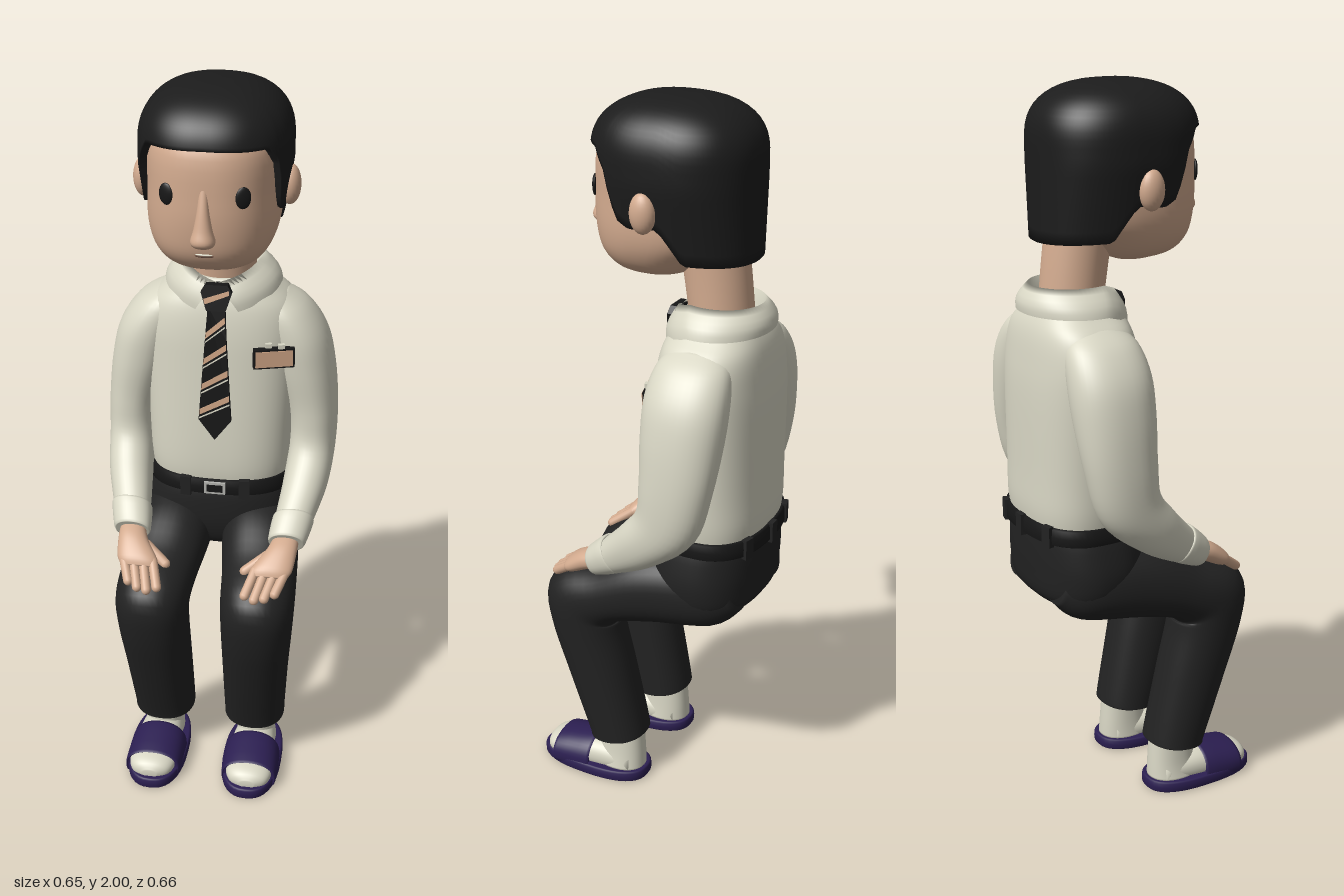
import * as THREE from 'three';

const mat = (name, color, side = THREE.FrontSide) => {
  const m = new THREE.MeshStandardMaterial({ color, side });
  m.name = name;
  return m;
};

// Grid surface: rows run downwards, columns run round the vertical axis
function grid(rows, cols, fn, closed = true) {
  const pos = [], idx = [], n = closed ? cols : cols + 1;
  for (let i = 0; i <= rows; i++) for (let j = 0; j < n; j++) pos.push(...fn(i, j / cols));
  for (let i = 0; i < rows; i++) for (let j = 0; j < cols; j++) {
    const k = (j + 1) % n, a = i * n + j, b = i * n + k;
    idx.push(a, b, a + n, b, b + n, a + n);
  }
  const g = new THREE.BufferGeometry();
  g.setAttribute('position', new THREE.Float32BufferAttribute(pos, 3));
  g.setIndex(idx);
  g.computeVertexNormals();
  return g;
}

const spow = (v, e) => Math.sign(v) * Math.abs(v) ** e;

// Smooth loft through sections [x, y, z, half width, half depth, pitch in degrees]
function loft(sections, { power = 2.2, cols = 40, steps = 5, minY = -1 } = {}) {
  const S = sections.map(r => (r.length < 6 ? [...r, 0] : r)), last = S.length - 1, rings = [];
  for (let i = 0; i < last; i++) for (let k = 0; k < steps || (i === last - 1 && k === steps); k++) {
    const t = k / steps, p = [S[Math.max(i - 1, 0)], S[i], S[i + 1], S[Math.min(i + 2, last)]];
    rings.push(p[0].map((_, c) => {
      const [a, b, d, e] = p.map(r => r[c]);
      return b + 0.5 * t * (d - a + t * (2 * a - 5 * b + 4 * d - e + t * (3 * (b - d) + e - a)));
    }));
  }
  const R = rings.length;
  return grid(R + 1, cols, (i, u) => {
    const [x, y, z, rx, rz, deg] = rings[Math.min(Math.max(i - 1, 0), R - 1)];
    const k = i === 0 || i === R + 1 ? 0 : 1, th = u * Math.PI * 2, p = deg * Math.PI / 180;
    const d = k * rz * spow(Math.sin(th), 2 / power);
    return [x + k * rx * spow(Math.cos(th), 2 / power), Math.max(minY, y + d * Math.sin(p)), z + d * Math.cos(p)];
  });
}

// Capsule between two points
function rod(a, b, r) {
  const A = new THREE.Vector3(...a), B = new THREE.Vector3(...b), d = B.clone().sub(A);
  const g = new THREE.CapsuleGeometry(r, d.length(), 6, 14);
  g.applyQuaternion(new THREE.Quaternion().setFromUnitVectors(new THREE.Vector3(0, 1, 0), d.normalize()));
  return g.translate(...A.add(B).multiplyScalar(0.5).toArray());
}

const ball = (x, y, z, sx, sy, sz, turn = 0) =>
  new THREE.SphereGeometry(1, 24, 16).scale(sx, sy, sz).rotateY(turn).translate(x, y, z);
const box = (x, y, z, w, h, d, turn = 0) => new THREE.BoxGeometry(w, h, d).rotateY(turn).translate(x, y, z);

// Height-to-value lookup in a short table
function lookup(table, v) {
  let i = 0;
  while (i < table.length - 2 && v > table[i + 1][0]) i++;
  const [a, b] = [table[i], table[i + 1]];
  return THREE.MathUtils.lerp(a[1], b[1], THREE.MathUtils.clamp((v - a[0]) / (b[0] - a[0]), 0, 1));
}

export function createModel() {
  const model = new THREE.Group();
  model.name = 'seatedOfficeWorker';
  const skin = mat('skin', 0xd3ab8f), cloth = mat('shirtCream', 0xd9d7c5, THREE.DoubleSide);
  const trouser = mat('trouserBlack', 0x222222), hairMat = mat('hairBlack', 0x1c1c1c);
  const black = mat('accessoryBlack', 0x171717), purple = mat('slipperPurple', 0x2c1f52);
  const tan = mat('stripeTan', 0xcfa585), silver = mat('buckleSilver', 0xb5b5b0), lip = mat('lipBrown', 0x8d6a58);
  const add = (name, geo, m, parent = model) => {
    const mesh = new THREE.Mesh(geo, m);
    mesh.name = name;
    parent.add(mesh);
    return mesh;
  };

  // Head, neck and face
  add('head', loft([[0, 1.95, -0.02, 0.1, 0.1], [0, 1.88, -0.02, 0.165, 0.185], [0, 1.75, -0.02, 0.17, 0.2],
    [0, 1.66, -0.012, 0.168, 0.188], [0, 1.6, 0.008, 0.148, 0.152], [0, 1.56, 0.015, 0.112, 0.108],
    [0, 1.537, 0.015, 0.05, 0.05]], { power: 2.3, cols: 56 }), skin);
  add('neck', loft([[0, 1.64, -0.135, 0.09, 0.09], [0, 1.54, -0.15, 0.088, 0.088], [0, 1.42, -0.165, 0.088, 0.085]], { power: 2 }), skin);
  add('nose', loft([[0, 1.8, 0.165, 0.01, 0.01], [0, 1.74, 0.175, 0.015, 0.018], [0, 1.69, 0.182, 0.023, 0.024],
    [0, 1.66, 0.184, 0.031, 0.031], [0, 1.645, 0.178, 0.026, 0.026], [0, 1.638, 0.172, 0.01, 0.012]], { cols: 24 }), skin);
  add('mouth', ball(0, 1.613, 0.159, 0.033, 0.008, 0.008), lip);
  add('teeth', ball(0, 1.615, 0.164, 0.024, 0.003, 0.006), cloth);
  for (const s of [1, -1]) {
    add('ear', ball(s * 0.188, 1.74, -0.032, 0.028, 0.053, 0.035), skin);
    add('eye', ball(s * 0.095, 1.765, 0.156, 0.02, 0.028, 0.007, s * 0.4), black);
  }

  // Hair cap: hairline height depends on the angle from the front
  const hairline = [[0, 1.885], [48, 1.88], [60, 1.83], [70, 1.71], [80, 1.69], [95, 1.7], [110, 1.61], [180, 1.6]];
  add('hair', grid(23, 96, (i, u) => {
    const th = u * Math.PI * 2, away = Math.acos(Math.sin(th)) * 180 / Math.PI;
    const drop = (2 - lookup(hairline, away)) * Math.min(1, i / 22) ** 1.8, q = Math.min(1, drop / 0.15);
    const f = (1 - (1 - q) ** 2.5) ** 0.4 * (i === 23 ? 0.4 : 1);
    const taper = 1 - 0.75 * Math.max(0, drop - 0.2);
    return [0.195 * f * taper * spow(Math.cos(th), 0.85), 2 - drop, -0.037 + 0.223 * f * spow(Math.sin(th), 0.85)];
  }), hairMat);

  // Shirt body and folded collar
  add('shirtBody', loft([[0, 1.45, -0.165, 0.1, 0.09], [0, 1.415, -0.165, 0.145, 0.115], [0, 1.37, -0.165, 0.195, 0.132],
    [0, 1.3, -0.164, 0.215, 0.143], [0, 1.2, -0.164, 0.215, 0.15], [0, 1.0, -0.16, 0.207, 0.156],
    [0, 0.9, -0.16, 0.203, 0.157], [0, 0.84, -0.16, 0.195, 0.15]], { power: 2.6, cols: 56 }), cloth);
  add('collar', grid(6, 64, (i, u) => {
    const a = 0.02 + u * (Math.PI * 2 - 0.04), rise = Math.min(1, Math.min(a, Math.PI * 2 - a) / 1.2);
    const b = 0.37 + u * (Math.PI * 2 - 0.74), v = Math.max(0, (i - 1) / 5), inner = i === 0 ? 0.93 : 1;
    const mix = THREE.MathUtils.lerp, bulge = 1 + 0.09 * Math.sin(v * Math.PI);
    return [-mix(0.106 * Math.sin(a), 0.16 * Math.sin(b), v) * bulge * inner,
      mix(1.45 + 0.04 * rise, 1.375 + 0.045 * rise, v) - (i === 0 ? 0.07 : 0),
      -0.162 + mix(0.115 * Math.cos(a), 0.142 * Math.cos(b), v) * bulge * inner];
  }, false), cloth);

  // Tie, bent to follow the chest
  const chest = [[1.0, -0.003], [1.2, -0.012], [1.3, -0.018], [1.38, -0.03], [1.45, -0.042]];
  const tieWidth = [[1.0, 0], [1.06, 0.045], [1.38, 0.023]];
  const onChest = (pts, depth, lift) => {
    const g = new THREE.ExtrudeGeometry(new THREE.Shape(pts.map(p => new THREE.Vector2(...p))), { depth, bevelEnabled: false });
    const p = g.attributes.position;
    for (let i = 0; i < p.count; i++) p.setZ(i, p.getZ(i) + lift + lookup(chest, p.getY(i)));
    g.computeVertexNormals();
    return g;
  };
  const ys = [1.06, 1.12, 1.2, 1.3, 1.39];
  add('tieBlade', onChest([[0, 1.0], ...ys.map(y => [lookup(tieWidth, y), y]),
    ...ys.slice().reverse().map(y => [-lookup(tieWidth, y), y])], 0.012, -0.004), black);
  add('tieKnot', onChest([[-0.026, 1.38], [0.026, 1.38], [0.042, 1.43], [0.03, 1.45], [-0.03, 1.45], [-0.042, 1.43]], 0.026, -0.01), black);
  const stripe = (y, h, m, lift) => {
    const w = yy => 0.97 * lookup(tieWidth, yy), r = y + 0.045;
    add('tieStripe', onChest([[-w(y), y], [w(r), r], [w(r + h), r + h], [-w(y + h), y + h]], 0.002, lift), m);
  };
  for (let y = 1.075; y < 1.34; y += 0.075) {
    stripe(y, 0.017, tan, 0.008);
    stripe(y - 0.012, 0.004, cloth, 0.008);
  }
  add('knotStripe', onChest([[-0.03, 1.398], [0.034, 1.425], [0.034, 1.437], [-0.034, 1.412]], 0.002, 0.016), tan);

  // Chest pocket badge
  add('badgeFrame', box(0.155, 1.247, -0.034, 0.112, 0.056, 0.02, 0.3), black);
  add('badgePlate', box(0.1565, 1.247, -0.0265, 0.102, 0.046, 0.01, 0.3), tan);
  for (const x of [0.14, 0.175]) add('badgeClip', box(x, 1.28, -0.036, 0.018, 0.014, 0.012, 0.3), cloth);

  // Belt with loops and buckle
  add('belt', loft([[0, 0.866, -0.162, 0.198, 0.152], [0, 0.864, -0.162, 0.207, 0.161], [0, 0.822, -0.162, 0.209, 0.163],
    [0, 0.82, -0.162, 0.198, 0.152]], { power: 2.6, steps: 2, cols: 56 }), black);
  for (const [x, z, t] of [[0.083, -0.005, 0.08], [-0.083, -0.005, -0.08], [0, -0.324, 0], [0.12, -0.307, -0.25], [-0.12, -0.307, 0.25]])
    add('beltLoop', box(x, 0.842, z, 0.03, 0.058, 0.016, t), trouser);
  add('buckle', box(0, 0.843, 0.002, 0.06, 0.036, 0.008), silver);
  add('buckleCentre', box(0, 0.843, 0.004, 0.046, 0.022, 0.008), black);

  // Trouser seat
  add('trouserSeat', loft([[0, 0.85, -0.162, 0.197, 0.152], [0, 0.8, -0.158, 0.212, 0.158], [0, 0.72, -0.158, 0.222, 0.155],
    [0, 0.65, -0.165, 0.205, 0.138], [0, 0.61, -0.17, 0.15, 0.09]], { power: 2.4, cols: 56 }), trouser);

  for (const s of [1, -1]) {
    const side = new THREE.Group();
    side.name = s > 0 ? 'leftLimbs' : 'rightLimbs';
    model.add(side);
    const limb = (name, rows, m, opt) => add(name, loft(rows.map(([x, ...r]) => [s * x, ...r]), opt), m, side);

    // Sleeve and cuff
    limb('sleeve', [[0.13, 1.395, -0.165, 0.04, 0.06], [0.16, 1.355, -0.165, 0.075, 0.098], [0.2, 1.28, -0.165, 0.087, 0.113],
      [0.227, 1.18, -0.165, 0.085, 0.112], [0.253, 1.05, -0.16, 0.071, 0.1, 5], [0.258, 0.935, -0.135, 0.065, 0.088, 22],
      [0.25, 0.855, -0.055, 0.062, 0.071, 42], [0.233, 0.795, 0.025, 0.054, 0.055, 52], [0.22, 0.755, 0.09, 0.045, 0.038, 62]], cloth);
    limb('cuff', [[0.23, 0.79, 0.04, 0.048, 0.046, 58], [0.229, 0.788, 0.043, 0.057, 0.055, 58],
      [0.218, 0.752, 0.1, 0.052, 0.044, 64], [0.217, 0.749, 0.106, 0.043, 0.036, 65]], cloth, { steps: 3 });

    // Hand with four fingers and a thumb
    limb('palm', [[0.217, 0.755, 0.085, 0.034, 0.027, 60], [0.208, 0.738, 0.135, 0.042, 0.028, 56],
      [0.187, 0.707, 0.185, 0.056, 0.024, 50], [0.18, 0.692, 0.205, 0.046, 0.014, 48]], skin);
    for (let f = 0; f < 4; f++) {
      const len = [0.95, 1.08, 1, 0.8][f];
      add('finger', rod([s * (0.143 + f * 0.027), 0.705, 0.19],
        [s * (0.122 + f * 0.027), 0.705 - 0.046 * len, 0.19 + 0.064 * len], 0.0135), skin, side);
    }
    add('thumb', rod([s * 0.17, 0.725, 0.14], [s * 0.112, 0.688, 0.172], 0.0145), skin, side);

    // Trouser leg
    limb('trouserLeg', [[0.11, 0.7, -0.275, 0.05, 0.06, 75], [0.112, 0.69, -0.2, 0.1, 0.107, 78], [0.128, 0.665, -0.03, 0.11, 0.108, 78],
      [0.142, 0.618, 0.095, 0.106, 0.092, 68], [0.148, 0.578, 0.175, 0.103, 0.116, 33], [0.147, 0.5, 0.175, 0.1, 0.105, 0],
      [0.141, 0.35, 0.137, 0.094, 0.097, -8], [0.135, 0.16, 0.087, 0.088, 0.085, -8], [0.135, 0.137, 0.084, 0.086, 0.082, -6],
      [0.135, 0.13, 0.083, 0.07, 0.066, -6]], trouser);

    // Sock and slipper
    limb('sockAnkle', [[0.137, 0.16, 0.075, 0.05, 0.066], [0.138, 0.08, 0.074, 0.054, 0.07], [0.14, 0.03, 0.08, 0.06, 0.078]], cloth);
    limb('sockFoot', [[0.14, 0.045, 0.03, 0.05, 0.04, 90], [0.14, 0.05, 0.14, 0.064, 0.05, 90], [0.142, 0.045, 0.25, 0.068, 0.038, 90],
      [0.143, 0.042, 0.295, 0.054, 0.029, 90], [0.143, 0.04, 0.313, 0.02, 0.012, 90]], cloth, { minY: 0.02 });
    limb('slipperSole', [[0.14, 0.032, 0.16, 0.078, 0.163], [0.14, 0.028, 0.16, 0.085, 0.17], [0.14, 0.005, 0.16, 0.085, 0.17],
      [0.14, 0, 0.16, 0.08, 0.165]], purple, { power: 2.5, steps: 2 });
    limb('slipperStrap', [[0.14, 0.03, 0.155, 0.074, 0.066, 90], [0.14, 0.03, 0.158, 0.081, 0.074, 90],
      [0.142, 0.03, 0.262, 0.08, 0.058, 90], [0.142, 0.03, 0.265, 0.073, 0.05, 90]], purple, { minY: 0.01, steps: 3 });
  }
  return model;
}
